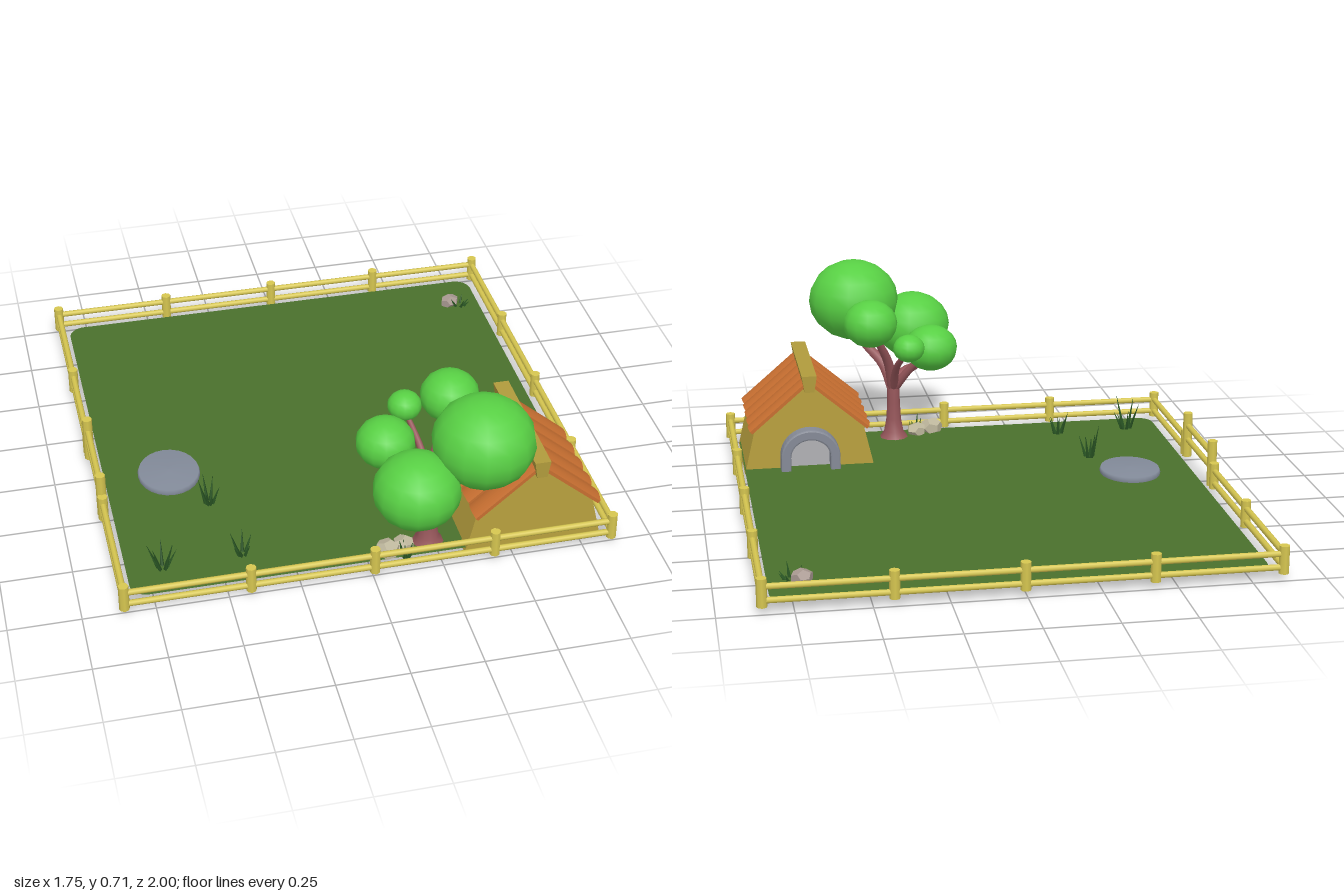
import * as THREE from 'three';

const mat = (color, extra = {}) => new THREE.MeshStandardMaterial({ color, ...extra });
const DS = { side: THREE.DoubleSide };
const M = {
  lawn: mat(0x4a702c, DS), wood: mat(0xd6c650), wall: mat(0xb8a03e, DS), roof: mat(0xc66e30),
  beam: mat(0xb09a3c), stone: mat(0x858a96), inside: mat(0xb0b0b4, DS), pond: mat(0x828a99),
  bark: mat(0x96565a), leaf: mat(0x58d044), grass: mat(0x2c5a26),
  rock: mat(0xbdb69c, { flatShading: true }), pinkRock: mat(0xa89890, { flatShading: true }),
};
const V = (x, y, z) => new THREE.Vector3(x, y, z);

function add(parent, name, geometry, material, x = 0, y = 0, z = 0) {
  const m = new THREE.Mesh(geometry, material);
  m.name = name;
  m.position.set(x, y, z);
  parent.add(m);
  return m;
}

// Straight rod between two points
function rod(parent, name, a, b, r0, r1, material, sides = 8) {
  const m = add(parent, name, new THREE.CylinderGeometry(r1, r0, a.distanceTo(b), sides), material);
  m.position.copy(a).lerp(b, 0.5);
  m.quaternion.setFromUnitVectors(V(0, 1, 0), b.clone().sub(a).normalize());
  return m;
}

const polygon = pts => new THREE.Shape(pts.map(p => new THREE.Vector2(...p)));
const extrude = (shape, depth) =>
  new THREE.ExtrudeGeometry(shape, { depth, bevelEnabled: false, curveSegments: 10 });

function buildLawn() {
  const x0 = -0.825, x1 = 0.825, z0 = -0.965, z1 = 0.71, r = 0.06;
  const s = new THREE.Shape();
  s.absarc(x1 - r, -z0 - r, r, 0, Math.PI / 2);
  s.absarc(x0 + r, -z0 - r, r, Math.PI / 2, Math.PI);
  s.absarc(x0 + r, -z1 + r, r, Math.PI, Math.PI * 1.5);
  s.absarc(x1 - r, -z1 + r, r, Math.PI * 1.5, Math.PI * 2);
  const lawn = new THREE.Mesh(new THREE.ShapeGeometry(s, 6).rotateX(-Math.PI / 2), M.lawn);
  lawn.name = 'lawn';
  lawn.position.y = 0.035;
  return lawn;
}

function buildFence() {
  const g = new THREE.Group();
  g.name = 'fence';
  const post = (x, z, top = 0.125) =>
    rod(g, 'fencePost', V(x, 0.028, z), V(x, top, z), 0.018, 0.018, M.wood);
  const rails = (xa, za, xb, zb, heights = [0.096, 0.049]) => heights.forEach(y =>
    rod(g, 'fenceRail', V(xa, y, za), V(xb, y, zb), 0.011, 0.011, M.wood));
  const L = -0.857, R = 0.853, B = -0.985, F = 0.755;
  for (const x of [L, -0.425, 0.005, 0.43, R]) { post(x, B); post(x, F); }
  for (const z of [-0.555, -0.125, 0.305]) post(R, z);
  for (const z of [-0.545, -0.142, 0.262]) post(L, z);
  rails(L, B, R, B);
  rails(L, F, R, F);
  rails(R, B, R, F);
  rails(L, B, L, -0.142);
  rails(L, 0.262, L, F);
  // Gate on the right side
  for (const z of [-0.107, 0.235]) post(L, z, 0.2);
  rails(L, -0.107, L, 0.235, [0.15, 0.096]);
  return g;
}

function buildHouse() {
  const g = new THREE.Group();
  g.name = 'house';
  g.position.x = 0.58;
  const zBack = 0.33, zFront = 0.715, t = 0.02;
  const gable = () => polygon([[-0.245, 0.015], [0.245, 0.015], [0.205, 0.185], [0, 0.365], [-0.205, 0.185]]);
  add(g, 'frontWall', extrude(gable(), t), M.wall, 0, 0, zFront - t);

  // Back wall, cut out around the doorway
  const back = polygon([[0.08, 0.015], [0.245, 0.015], [0.205, 0.185], [0, 0.365], [-0.205, 0.185],
    [-0.245, 0.015], [-0.08, 0.015], [-0.08, 0.09], [-0.05, 0.145], [0, 0.16], [0.05, 0.145], [0.08, 0.09]]);
  add(g, 'backWall', extrude(back, t), M.wall, 0, 0, zBack);
  for (const s of [-1, 1]) {
    const side = polygon([[s * 0.245, 0.015], [s * 0.205, 0.185], [s * 0.185, 0.185], [s * 0.225, 0.015]]);
    add(g, 'sideWall', extrude(side, zFront - zBack - 2 * t), M.wall, 0, 0, zBack + t);
  }

  // Stone door arch and the pale doorway
  const arch = new THREE.Shape();
  arch.moveTo(0.105, 0.015);
  arch.lineTo(0.105, 0.085);
  arch.absellipse(0, 0.085, 0.105, 0.1, 0, Math.PI);
  arch.lineTo(-0.105, 0.015);
  arch.lineTo(-0.08, 0.015);
  arch.lineTo(-0.08, 0.085);
  arch.absellipse(0, 0.085, 0.08, 0.073, Math.PI, 0, true);
  arch.lineTo(0.08, 0.015);
  add(g, 'doorArch', new THREE.ExtrudeGeometry(arch, {
    depth: 0.045, bevelThickness: 0.006, bevelSize: 0.006, bevelSegments: 2, curveSegments: 10,
  }), M.stone, 0, 0, 0.285);
  add(g, 'doorway', new THREE.PlaneGeometry(0.17, 0.13).rotateY(Math.PI), M.inside, 0, 0.1, zBack + 0.012);

  // Five arched planks on each roof slope
  const w = 0.041, plank = new THREE.Shape();
  plank.moveTo(-w, -0.002);
  plank.quadraticCurveTo(0, 0.016, w, -0.002);
  plank.lineTo(w, 0.01);
  plank.quadraticCurveTo(0, 0.028, -w, 0.01);
  const slope = Math.atan2(0.18, 0.21), length = 0.285;
  const plankGeometry = extrude(plank, length);
  for (const s of [-1, 1]) {
    const down = V(s * Math.cos(slope), -Math.sin(slope), 0);
    const up = V(s * Math.sin(slope), Math.cos(slope), 0);
    const basis = new THREE.Matrix4().makeBasis(up.clone().cross(down), up, down);
    for (let i = 0; i < 5; i++) {
      const p = add(g, 'roofPlank', plankGeometry, M.roof, 0, 0.367, 0.345 + i * 0.0915);
      p.quaternion.setFromRotationMatrix(basis);
    }
  }
  const ridge = polygon([[-0.018, 0.34], [0.018, 0.34], [0.028, 0.402], [-0.028, 0.402]]);
  add(g, 'ridgeBeam', extrude(ridge, 0.49), M.beam, 0, 0, 0.277);
  return g;
}

// Tube along a curve whose radius shrinks from r0 to r1
function limb(parent, name, pts, r0, r1) {
  const curve = new THREE.CatmullRomCurve3(pts), n = 10, sides = 8;
  const geo = new THREE.TubeGeometry(curve, n, 1, sides);
  const pos = geo.attributes.position, p = new THREE.Vector3();
  for (let i = 0; i < pos.count; i++) {
    const k = Math.floor(i / (sides + 1)) / n, c = curve.getPointAt(k);
    p.fromBufferAttribute(pos, i).sub(c).multiplyScalar(r0 + (r1 - r0) * k).add(c);
    pos.setXYZ(i, p.x, p.y, p.z);
  }
  geo.computeVertexNormals();
  add(parent, name, geo, M.bark);
}

function buildTree() {
  const g = new THREE.Group();
  g.name = 'tree';
  const trunk = [[0.055, 0.035], [0.038, 0.06], [0.029, 0.11], [0.025, 0.18], [0.025, 0.25], [0.018, 0.28]];
  add(g, 'trunk', new THREE.LatheGeometry(trunk.map(p => new THREE.Vector2(...p)), 10), M.bark, 0.222, 0, 0.64);
  const fork = V(0.222, 0.23, 0.64);
  limb(g, 'branch', [fork, V(0.18, 0.275, 0.7), V(0.1, 0.29, 0.79), V(0.08, 0.36, 0.84)], 0.022, 0.012);
  limb(g, 'branch', [fork, V(0.255, 0.32, 0.68), V(0.32, 0.39, 0.75), V(0.36, 0.46, 0.79)], 0.024, 0.014);
  limb(g, 'branch', [fork, V(0.17, 0.31, 0.6), V(0.1, 0.4, 0.55)], 0.02, 0.011);
  limb(g, 'branch', [fork, V(0.25, 0.36, 0.59), V(0.32, 0.5, 0.51)], 0.022, 0.012);
  limb(g, 'branch', [fork, V(0.22, 0.34, 0.55), V(0.19, 0.44, 0.42)], 0.018, 0.008);
  // Leaf balls: x, y, z, radius, half height
  const balls = [
    [0.355, 0.555, 0.8, 0.175, 0.156], [0.117, 0.43, 0.85, 0.148, 0.13], [0.087, 0.415, 0.55, 0.103, 0.088],
    [0.325, 0.535, 0.495, 0.103, 0.09], [0.19, 0.455, 0.41, 0.06, 0.052],
  ];
  for (const [x, y, z, r, h] of balls)
    add(g, 'leafBall', new THREE.SphereGeometry(1, 14, 10), M.leaf, x, y, z).scale.set(r, h, r);
  return g;
}

function buildGrass(x, z, height, spread) {
  const g = new THREE.Group();
  g.name = 'grassTuft';
  for (let i = 0; i < 6; i++) {
    const a = i * 2.4 + x * 9, h = height * (0.6 + 0.4 * ((i * 3) % 5) / 4);
    const foot = V(x + 0.01 * Math.cos(a), 0.022, z + 0.01 * Math.sin(a));
    const tip = V(x + spread * Math.cos(a), 0.022 + h, z + spread * Math.sin(a));
    rod(g, 'grassBlade', foot, tip, 0.009, 0.0005, M.grass, 3);
  }
  return g;
}

function buildRock(parent, x, y, z, sx, sy, sz, material) {
  const m = add(parent, 'rock', new THREE.DodecahedronGeometry(1), material, x, y, z);
  m.scale.set(sx, sy, sz);
  m.rotation.y = x * 7;
}

export function createModel() {
  const model = new THREE.Group();
  model.name = 'garden';
  model.add(buildLawn(), buildFence(), buildHouse(), buildTree());

  // Low oval pond stone
  const disc = [[0, 0.005], [0.85, 0.005], [0.97, 0.02], [1, 0.042], [0.96, 0.054], [0, 0.058]];
  add(model, 'pond', new THREE.LatheGeometry(disc.map(p => new THREE.Vector2(...p)), 24), M.pond, -0.592, 0, 0.067)
    .scale.set(0.113, 1, 0.128);

  buildRock(model, 0.068, 0.055, 0.68, 0.046, 0.034, 0.045, M.rock);
  buildRock(model, 0.13, 0.05, 0.66, 0.04, 0.03, 0.04, M.rock);
  buildRock(model, 0.71, 0.048, -0.805, 0.032, 0.03, 0.04, M.pinkRock);

  model.add(
    buildGrass(-0.7, 0.585, 0.14, 0.05), buildGrass(-0.42, 0.57, 0.1, 0.04),
    buildGrass(-0.48, 0.265, 0.13, 0.04), buildGrass(0.745, -0.785, 0.06, 0.04),
    buildGrass(0.13, 0.7, 0.075, 0.025));
  return model;
}
